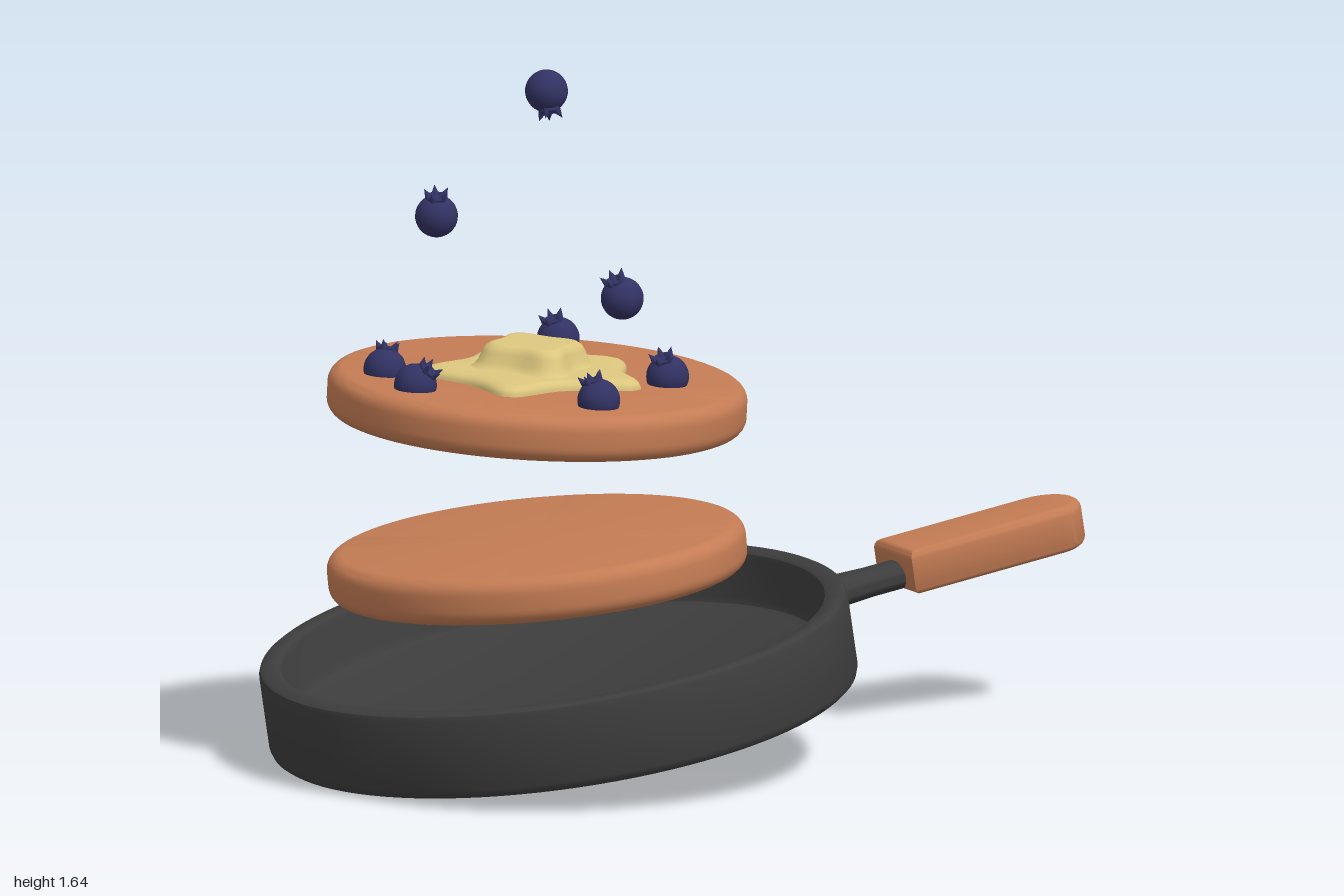
import * as THREE from 'three';
import { toCreasedNormals } from 'three/addons/utils/BufferGeometryUtils.js';

const V2 = (p) => new THREE.Vector2(p[0], p[1]);
const V3 = (x, y, z) => new THREE.Vector3(x, y, z);
const rad = THREE.MathUtils.degToRad;

const paint = (name, color) => {
  const m = new THREE.MeshStandardMaterial({ color });
  m.name = name;
  return m;
};

function part(parent, name, geometry, material) {
  const mesh = new THREE.Mesh(geometry, material);
  mesh.name = name;
  parent.add(mesh);
  return mesh;
}

const lathe = (profile, segments, crease = 0.6) =>
  toCreasedNormals(new THREE.LatheGeometry(profile.map(V2), segments), crease);

// Stacks scaled copies of a closed outline; rings are [scale, height]
function mound(points, rings) {
  const curve = new THREE.CatmullRomCurve3(points.map(([x, z]) => V3(x, 0, z)), true);
  const n = 60;
  const outline = curve.getSpacedPoints(n).slice(0, n);
  const pos = [];
  const index = [];
  rings.forEach(([s, y], k) => {
    outline.forEach((p, i) => {
      pos.push(p.x * s, y, p.z * s);
      if (k === rings.length - 1) return;
      const a = k * n + i, b = k * n + (i + 1) % n;
      index.push(a, a + n, b, b, a + n, b + n);
    });
  });
  const g = new THREE.BufferGeometry();
  g.setAttribute('position', new THREE.Float32BufferAttribute(pos, 3));
  g.setIndex(index);
  g.computeVertexNormals();
  return g;
}

export function createModel() {
  const model = new THREE.Group();
  model.name = 'flippedPancakes';
  const iron = paint('castIron', 0x3d3d3d);
  const golden = paint('goldenBrown', 0xc47c54);
  const butter = paint('butterYellow', 0xdcc67e);
  const blue = paint('berryBlue', 0x323264);

  // Frying pan, tipped up towards the handle
  const pan = new THREE.Group();
  pan.name = 'fryingPan';
  pan.position.set(-0.32, 0.107, 0);
  pan.rotation.z = rad(9);
  model.add(pan);
  part(pan, 'panBody', lathe([
    [0, 0], [0.65, 0], [0.66, 0.008], [0.664, 0.02], [0.664, 0.182], [0.66, 0.192], [0.652, 0.197],
    [0.622, 0.197], [0.614, 0.192], [0.61, 0.182], [0.605, 0.09], [0.598, 0.076], [0.585, 0.07], [0, 0.07],
  ], 96), iron);

  // Flared neck between pan and grip
  const neck = part(pan, 'handleNeck', lathe([
    [0.075, 0.64], [0.068, 0.665], [0.058, 0.69], [0.051, 0.73], [0.047, 0.8], [0.047, 0.9],
  ], 32), iron);
  neck.rotation.z = -Math.PI / 2;
  neck.scale.x = 0.7;
  neck.position.y = 0.102;

  // Grip with a rounded far end
  const bevel = 0.02;
  const half = 0.088 - bevel;
  const x0 = 0.87 + bevel, x1 = 1.342 - bevel;
  const outline = new THREE.Shape();
  outline.moveTo(x0, -half);
  outline.lineTo(x1 - half, -half);
  outline.absarc(x1 - half, 0, half, -Math.PI / 2, Math.PI / 2, false);
  outline.lineTo(x0, half);
  outline.closePath();
  const gripGeometry = new THREE.ExtrudeGeometry(outline, {
    depth: 0.104 - 2 * bevel, bevelEnabled: true, bevelSize: bevel, bevelThickness: bevel,
    bevelSegments: 4, curveSegments: 16,
  });
  gripGeometry.rotateX(-Math.PI / 2);
  part(pan, 'handleGrip', toCreasedNormals(gripGeometry, 0.7), golden).position.y = 0.066 + bevel;

  // Two tossed pancakes with rounded edges
  const R = 0.47, H = 0.053, e = 0.035;
  const profile = [[0, -H]];
  for (const [cy, start] of [[-H + e, -90], [H - e, 0]]) {
    for (let i = 0; i <= 6; i++) {
      const a = rad(start + i * 15);
      profile.push([R - e + e * Math.cos(a), cy + e * Math.sin(a)]);
    }
  }
  profile.push([0, H]);
  const pancakeGeometry = lathe(profile, 80);
  const pancakes = [
    ['lowerPancake', 0.462, -2, 4.8],
    ['upperPancake', 0.828, 1.8, -2.4],
  ].map(([name, y, rx, rz]) => {
    const g = new THREE.Group();
    g.name = name;
    g.position.set(-0.39, y, 0);
    g.rotation.set(rad(rx), 0, rad(rz));
    part(g, 'pancake', pancakeGeometry, golden);
    model.add(g);
    return g;
  });

  // Melted butter puddle and the pat on top
  part(pancakes[1], 'meltedButter', mound([
    [0.026, -0.248], [0.115, -0.135], [0.24, -0.05], [0.175, 0.08], [0.15, 0.2],
    [-0.03, 0.17], [-0.185, 0.2], [-0.205, 0.06], [-0.255, -0.075], [-0.115, -0.14],
  ], [[1, 0.045], [1, 0.058], [0.975, 0.067], [0.93, 0.073], [0.85, 0.077], [0, 0.08]]), butter);

  const square = [];
  for (let i = 0; i < 4; i++) {
    for (const [offset, r] of [[-9, 0.127], [9, 0.127], [45, 0.098]]) {
      const a = rad(8 + i * 90 + offset);
      square.push([r * Math.cos(a), r * Math.sin(a)]);
    }
  }
  part(pancakes[1], 'butterPat', mound(square, [
    [1.2, 0.072], [1.08, 0.08], [0.99, 0.092], [0.93, 0.112], [0.87, 0.124], [0.78, 0.131], [0.7, 0.132], [0, 0.132],
  ]), butter).position.x = -0.015;

  // Blueberries: centre, then the direction the crown faces
  const ball = new THREE.SphereGeometry(0.048, 28, 20);
  const rim = new THREE.TorusGeometry(0.019, 0.005, 8, 20).rotateX(Math.PI / 2);
  const leaf = new THREE.ConeGeometry(0.011, 0.026, 6);
  const berries = [
    [-0.535, 1.595, 0.31, 0, -0.92, 0.35],
    [-0.725, 1.3, 0.145, -0.1, 0.95, 0.2],
    [-0.255, 1.07, 0.15, -0.4, 0.85, 0],
    [-0.19, 0.902, -0.268, -0.3, 0.9, 0],
    [-0.72, 0.908, -0.105, 0.25, 0.95, -0.2],
    [-0.735, 0.903, 0.065, 0.45, 0.7, 0.45],
    [-0.42, 0.886, 0.343, -0.25, 0.9, -0.2],
    [-0.145, 0.884, 0.16, -0.35, 0.9, 0.15],
  ];
  for (const [x, y, z, dx, dy, dz] of berries) {
    const berry = new THREE.Group();
    berry.name = 'blueberry';
    berry.position.set(x, y, z);
    berry.quaternion.setFromUnitVectors(V3(0, 1, 0), V3(dx, dy, dz).normalize());
    part(berry, 'berryBody', ball, blue);
    part(berry, 'crownRim', rim, blue).position.y = 0.046;
    for (let i = 0; i < 5; i++) {
      const a = (i / 5) * Math.PI * 2;
      const tip = part(berry, 'crownLeaf', leaf, blue);
      tip.position.set(0.022 * Math.cos(a), 0.053, 0.022 * Math.sin(a));
      tip.quaternion.setFromUnitVectors(V3(0, 1, 0), V3(0.5 * Math.cos(a), 0.87, 0.5 * Math.sin(a)).normalize());
    }
    model.add(berry);
  }
  return model;
}
